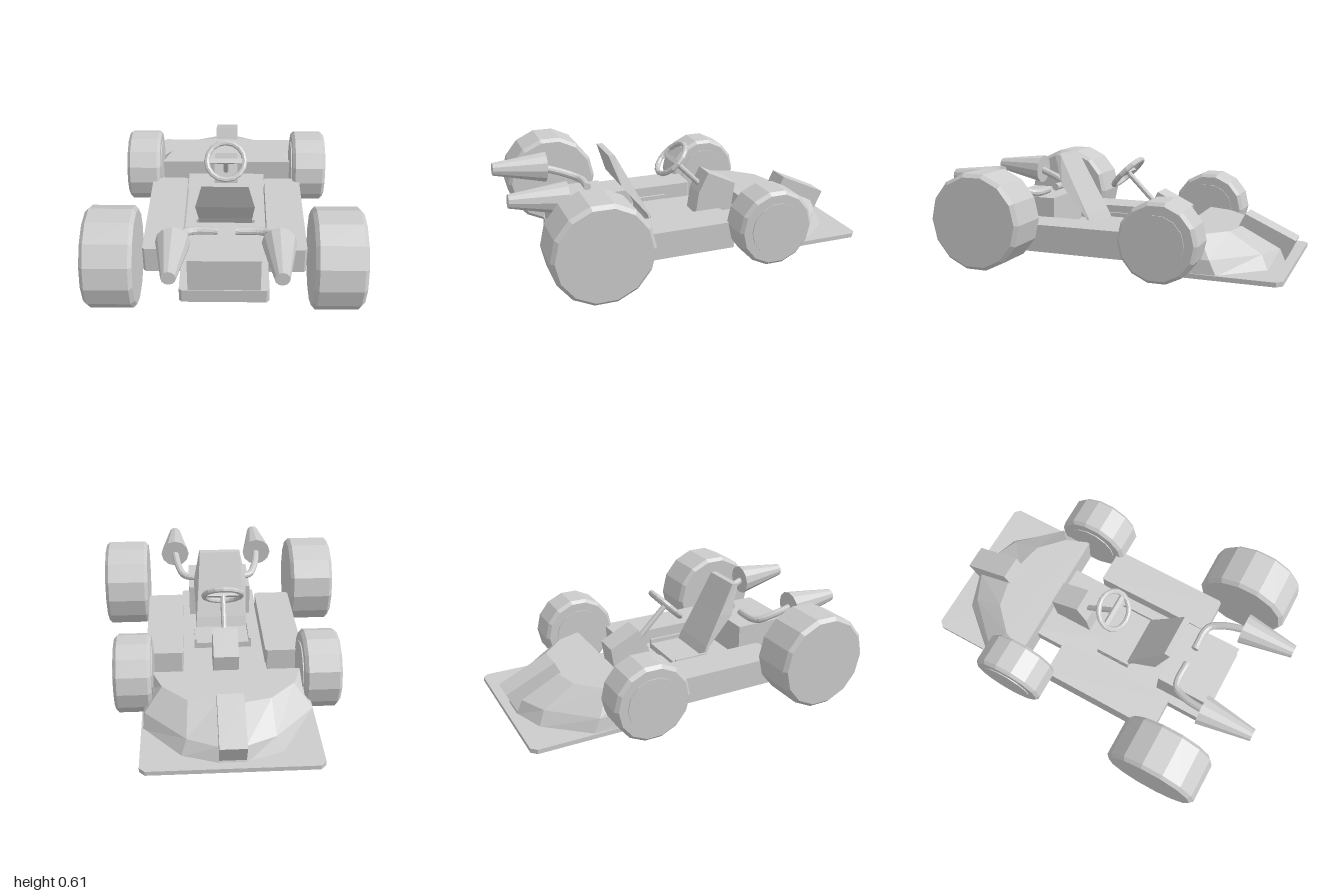
import * as THREE from 'three';

const grey = new THREE.MeshStandardMaterial({ color: 0xcccccc, flatShading: true });
grey.name = 'plain grey';

function add(parent, name, geometry, x = 0, y = 0, z = 0) {
  const mesh = new THREE.Mesh(geometry, grey);
  mesh.name = name;
  mesh.position.set(x, y, z);
  parent.add(mesh);
  return mesh;
}

// Solid through stacked rings; each ring is counter-clockwise seen from above
function loft(rings) {
  const pos = [], n = rings[0].length, last = rings.length - 1;
  const tri = (a, b, c) => pos.push(...a, ...b, ...c);
  for (let i = 0; i < last; i++) {
    for (let j = 0; j < n; j++) {
      const k = (j + 1) % n, lo = rings[i], hi = rings[i + 1];
      tri(lo[j], lo[k], hi[k]);
      tri(lo[j], hi[k], hi[j]);
    }
  }
  for (let j = 1; j < n - 1; j++) {
    tri(rings[0][0], rings[0][j + 1], rings[0][j]);
    tri(rings[last][0], rings[last][j], rings[last][j + 1]);
  }
  const g = new THREE.BufferGeometry();
  g.setAttribute('position', new THREE.Float32BufferAttribute(pos, 3));
  g.computeVertexNormals();
  return g;
}

// Ring mirrored across x from its +x half of [x, z] pairs, listed back to front
function ring(y, half) {
  const right = half.map(([x, z]) => [x, y, z]);
  return [...right, ...right.map(([x, , z]) => [-x, y, z]).reverse()];
}

// Box with chamfered upright corners
function slab(halfWidth, y0, y1, z0, z1, c) {
  const half = [[halfWidth - c, z1], [halfWidth, z1 - c], [halfWidth, z0 + c], [halfWidth - c, z0]];
  return loft([ring(y0, half), ring(y1, half)]);
}

// Fourteen-sided wheel with bevelled edges, lying along x
function wheelGeometry(radius, width, bevel, hub) {
  const w = width / 2, p = [];
  if (hub) p.push([0, -w - 0.006], [hub, -w - 0.006], [hub, -w]);
  else p.push([0, -w]);
  p.push([radius - bevel, -w], [radius, -w + bevel], [radius, w - bevel], [radius - bevel, w]);
  if (hub) p.push([hub, w], [hub, w + 0.006], [0, w + 0.006]);
  else p.push([0, w]);
  return new THREE.LatheGeometry(p.map(([x, y]) => new THREE.Vector2(x, y)), 14).rotateZ(Math.PI / 2);
}

export function createModel() {
  const kart = new THREE.Group();
  kart.name = 'kart';

  // Chassis
  add(kart, 'floor', slab(0.24, 0.09, 0.17, -0.45, 0.73, 0.015));
  add(kart, 'frontPlate', slab(0.47, 0.05, 0.075, -1, -0.4, 0.03));
  add(kart, 'engine', new THREE.BoxGeometry(0.385, 0.2, 0.33), 0, 0.265, 0.56);

  // Nose cowl and the tilted block on it
  add(kart, 'nose', loft([
    ring(0.07, [[0.47, -0.4], [0.46, -0.66], [0.26, -0.89], [0.07, -0.955]]),
    ring(0.15, [[0.455, -0.4], [0.45, -0.62], [0.23, -0.85], [0.07, -0.92]]),
    ring(0.26, [[0.41, -0.4], [0.355, -0.54], [0.22, -0.67], [0.07, -0.705]]),
  ]));
  add(kart, 'noseBlock', new THREE.BoxGeometry(0.14, 0.22, 0.31), 0, 0.165, -0.815).rotation.x = -0.434;

  // Side pods, wheels and exhausts
  const rearWheel = wheelGeometry(0.27, 0.265, 0.02);
  const frontWheel = wheelGeometry(0.217, 0.2, 0.018, 0.15);
  for (const s of [1, -1]) {
    const side = s > 0 ? 'left' : 'right';
    add(kart, side + 'SidePod', slab(0.108, 0.105, 0.26, -0.21, 0.5, 0.012), s * 0.343);
    add(kart, side + 'RearWheel', rearWheel, s * 0.588, 0.305, 0.615);
    add(kart, side + 'FrontWheel', frontWheel, s * 0.51, 0.252, -0.383);

    const exhaust = new THREE.Group();
    exhaust.name = side + 'Exhaust';
    exhaust.position.x = 0.01;
    kart.add(exhaust);
    const path = new THREE.CatmullRomCurve3([
      [0.06, 0.39, 0.5], [0.17, 0.39, 0.5], [0.215, 0.395, 0.52], [0.25, 0.425, 0.6], [0.27, 0.465, 0.72],
    ].map(([x, y, z]) => new THREE.Vector3(s * x, y, z)));
    add(exhaust, 'pipe', new THREE.TubeGeometry(path, 16, 0.022, 10));
    add(exhaust, 'pipeEnd', new THREE.CylinderGeometry(0.022, 0.022, 0.02, 10).rotateZ(Math.PI / 2),
      s * 0.058, 0.39, 0.5);
    add(exhaust, 'cone', new THREE.CylinderGeometry(0.037, 0.09, 0.305, 12), s * 0.27, 0.476, 0.847)
      .rotation.x = Math.PI / 2 - 0.07;
  }

  // Seat
  add(kart, 'seatBase', new THREE.BoxGeometry(0.34, 0.04, 0.205), 0, 0.185, 0.083);
  for (const s of [1, -1])
    add(kart, 'seatRail', new THREE.BoxGeometry(0.015, 0.06, 0.205), s * 0.162, 0.2, 0.083);
  const seatRing = (y, front, back, wFront, wBack) => ring(y, [[wBack, back], [wFront, front]]);
  add(kart, 'seatBack', loft([
    seatRing(0.17, 0.155, 0.17, 0.155, 0.155),
    seatRing(0.26, 0.195, 0.21, 0.15, 0.155),
    seatRing(0.44, 0.29, 0.355, 0.135, 0.163),
    seatRing(0.615, 0.38, 0.415, 0.122, 0.124),
  ]));

  // Steering block, column and wheel
  const profile = new THREE.Shape([
    [0.21, 0.42], [0.15, 0.3], [0.13, 0.165], [0.36, 0.165], [0.385, 0.335],
  ].map(([z, y]) => new THREE.Vector2(z, y)));
  add(kart, 'steeringBlock', new THREE.ExtrudeGeometry(profile, { depth: 0.14, bevelEnabled: false })
    .translate(0, 0, -0.07).rotateY(Math.PI / 2));
  const steering = new THREE.Group();
  steering.name = 'steering';
  steering.position.set(0, 0.515, 0);
  steering.rotation.x = -Math.PI / 4;
  kart.add(steering);
  add(steering, 'steeringWheel', new THREE.TorusGeometry(0.11, 0.016, 8, 16));
  add(steering, 'spoke', new THREE.BoxGeometry(0.21, 0.028, 0.016));
  add(steering, 'column', new THREE.CylinderGeometry(0.016, 0.016, 0.28, 10).rotateX(Math.PI / 2), 0, 0, -0.14);

  return kart;
}
